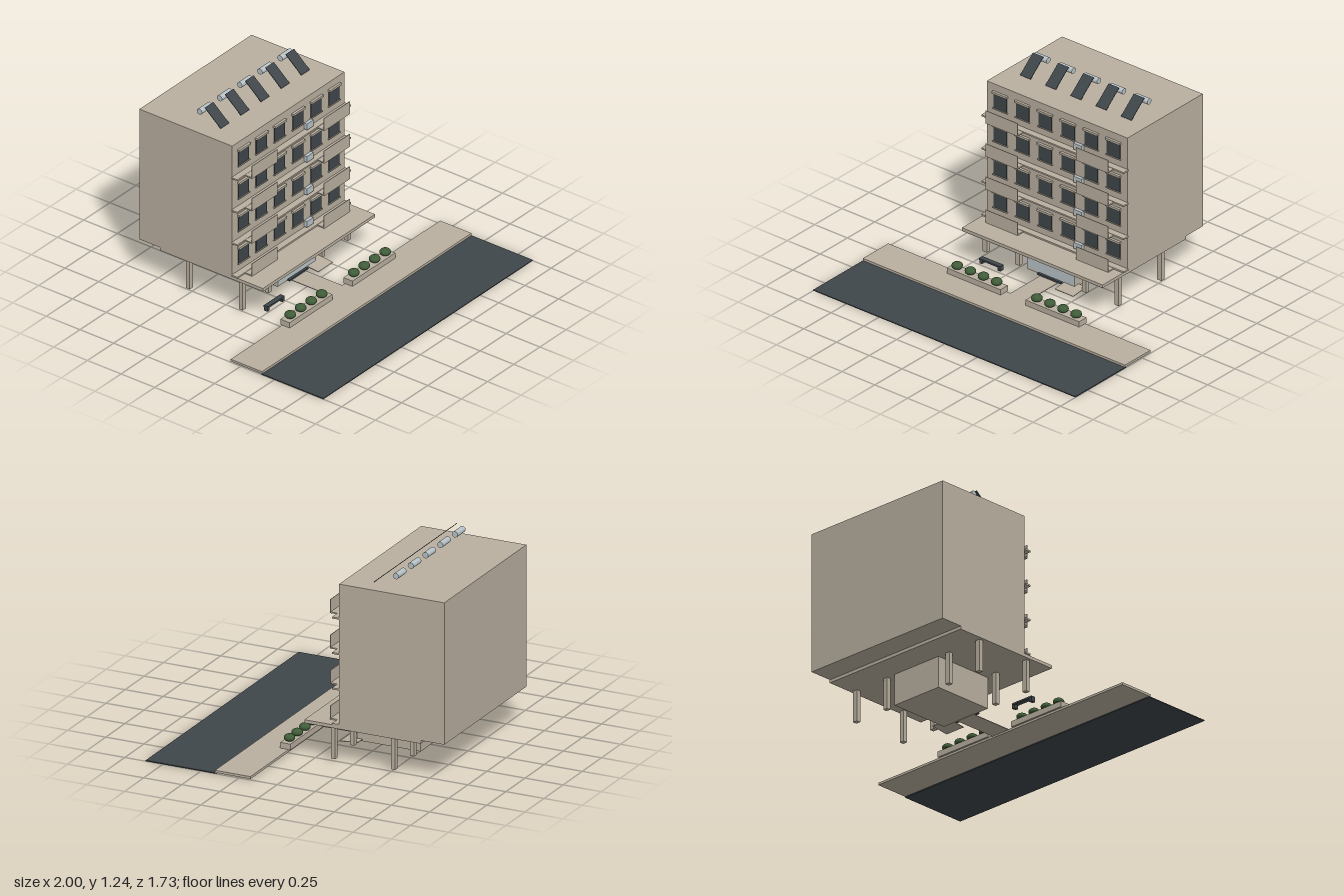
import * as THREE from 'three';

function mat(name, color) {
  const m = new THREE.MeshStandardMaterial({ color });
  m.name = name;
  return m;
}

export function createModel() {
  const root = new THREE.Group();
  root.name = 'apartmentBlock';
  const plaster = mat('plaster', 0xb9af9f);
  const dark = mat('dark', 0x3f464a);
  const pale = mat('paleGlass', 0xb8c3c7);
  const leaf = mat('leaf', 0x3f5c38);

  // Box given by its limits on each axis
  function box(name, m, x0, x1, y0, y1, z0, z1, parent = root) {
    const mesh = new THREE.Mesh(new THREE.BoxGeometry(x1 - x0, y1 - y0, z1 - z0), m);
    mesh.position.set((x0 + x1) / 2, (y0 + y1) / 2, (z0 + z1) / 2);
    mesh.name = name;
    parent.add(mesh);
    return mesh;
  }
  function group(name) {
    const g = new THREE.Group();
    g.name = name;
    root.add(g);
    return g;
  }

  // Street, pavement and entrance path
  box('road', dark, -1, 1, 0, 0.006, 0.4, 0.863);
  box('pavement', plaster, -1, 1, 0.006, 0.021, 0.175, 0.408);
  box('path', plaster, -0.068, 0.066, 0.017, 0.021, -0.12, 0.176);
  const ramp = box('ramp', plaster, 0.1, 0.24, 0.024, 0.028, -0.15, -0.03);
  ramp.rotation.x = 0.1;
  box('entranceStep', dark, -0.09, 0.09, 0.021, 0.032, -0.11, -0.095);

  // Main block and the canopy slab below it
  box('block', plaster, -0.538, 0.535, 0.24, 1.13, -0.863, -0.173);
  box('canopy', plaster, -0.538, 0.535, 0.22, 0.2405, -0.71, 0.055);

  // Columns
  const columns = group('columns');
  for (const x of [-0.502, -0.254, 0.254, 0.502])
    for (const z of [-0.125, -0.518])
      box('column', plaster, x - 0.016, x + 0.016, 0.02, 0.22, z - 0.014, z + 0.014, columns);

  // Lobby with a glazed front
  const lobby = group('lobby');
  box('lobbyFloor', plaster, -0.18, 0.18, 0.02, 0.03, -0.53, -0.115, lobby);
  box('lobbyBackWall', plaster, -0.18, 0.18, 0.03, 0.22, -0.53, -0.515, lobby);
  for (const s of [-1, 1])
    box('lobbySideWall', plaster, s * 0.173 - 0.007, s * 0.173 + 0.007, 0.03, 0.22, -0.515, -0.12, lobby);
  box('lobbyGlass', pale, -0.18, 0.18, 0.03, 0.22, -0.12, -0.113, lobby);
  box('doorPlate', dark, -0.13, -0.094, 0.18, 0.195, -0.113, -0.109, lobby);
  box('doorHandle', dark, 0.104, 0.112, 0.12, 0.13, -0.113, -0.107, lobby);

  // Facade: four storeys of windows, ledges, balconies and cooling units
  for (let f = 0; f < 4; f++) {
    const y = 0.248 + f * 0.2223;
    const storey = group('storey' + (f + 1));
    for (const x of [-0.433, -0.263, -0.09, 0.086, 0.26, 0.431]) {
      box('window', dark, x - 0.05, x + 0.05, y + 0.056, y + 0.156, -0.174, -0.168, storey);
      box('lintel', plaster, x - 0.056, x + 0.056, y + 0.154, y + 0.168, -0.174, -0.157, storey);
      box('sill', plaster, x - 0.056, x + 0.056, y + 0.05, y + 0.056, -0.174, -0.163, storey);
    }
    box('ledge', plaster, -0.544, 0.541, y - 0.006, y + 0.004, -0.174, -0.13, storey);
    for (const [a, b] of [[-0.47, -0.224], [0.22, 0.466]]) {
      box('balconyFloor', plaster, a, b, y - 0.006, y + 0.002, -0.131, -0.08, storey);
      box('balconyFront', plaster, a, b, y - 0.006, y + 0.08, -0.083, -0.079, storey);
    }
    box('coolingUnit', pale, 0.143, 0.206, y + 0.012, y + 0.053, -0.168, -0.147, storey);
  }

  // Roof: tilted solar panels, each with a water tank behind
  const solar = group('solarHeaters');
  const tankGeo = new THREE.CylinderGeometry(0.019, 0.019, 0.102, 20).rotateZ(Math.PI / 2);
  const rise = 0.1, run = 0.118;
  const panelGeo = new THREE.BoxGeometry(0.08, 0.004, Math.hypot(rise, run));
  for (let i = -2; i <= 2; i++) {
    const x = i * 0.1925 - 0.002;
    const panel = new THREE.Mesh(panelGeo, dark);
    panel.name = 'solarPanel';
    panel.rotation.x = Math.atan2(rise, run);
    panel.position.set(x, 1.184, -0.404);
    const tank = new THREE.Mesh(tankGeo, pale);
    tank.name = 'waterTank';
    tank.position.set(x, 1.2, -0.495);
    solar.add(panel, tank);
  }

  // Planters with clipped bushes
  const bushGeo = new THREE.SphereGeometry(1, 20, 14).scale(0.034, 0.023, 0.034);
  for (const [a, b, first] of [[-0.508, -0.098, -0.457], [0.092, 0.502, 0.15]]) {
    const planter = group('planter');
    box('planterBox', plaster, a, b, 0.02, 0.057, 0.163, 0.23, planter);
    for (let i = 0; i < 4; i++) {
      const bush = new THREE.Mesh(bushGeo, leaf);
      bush.name = 'bush';
      bush.position.set(first + i * 0.1, 0.077, 0.195);
      planter.add(bush);
    }
  }

  // Bench
  const bench = group('bench');
  box('benchSeat', dark, -0.44, -0.28, 0.043, 0.054, -0.016, 0.016, bench);
  for (const x of [-0.43, -0.29])
    box('benchLeg', dark, x - 0.01, x + 0.01, 0.02, 0.043, -0.014, 0.014, bench);

  return root;
}
